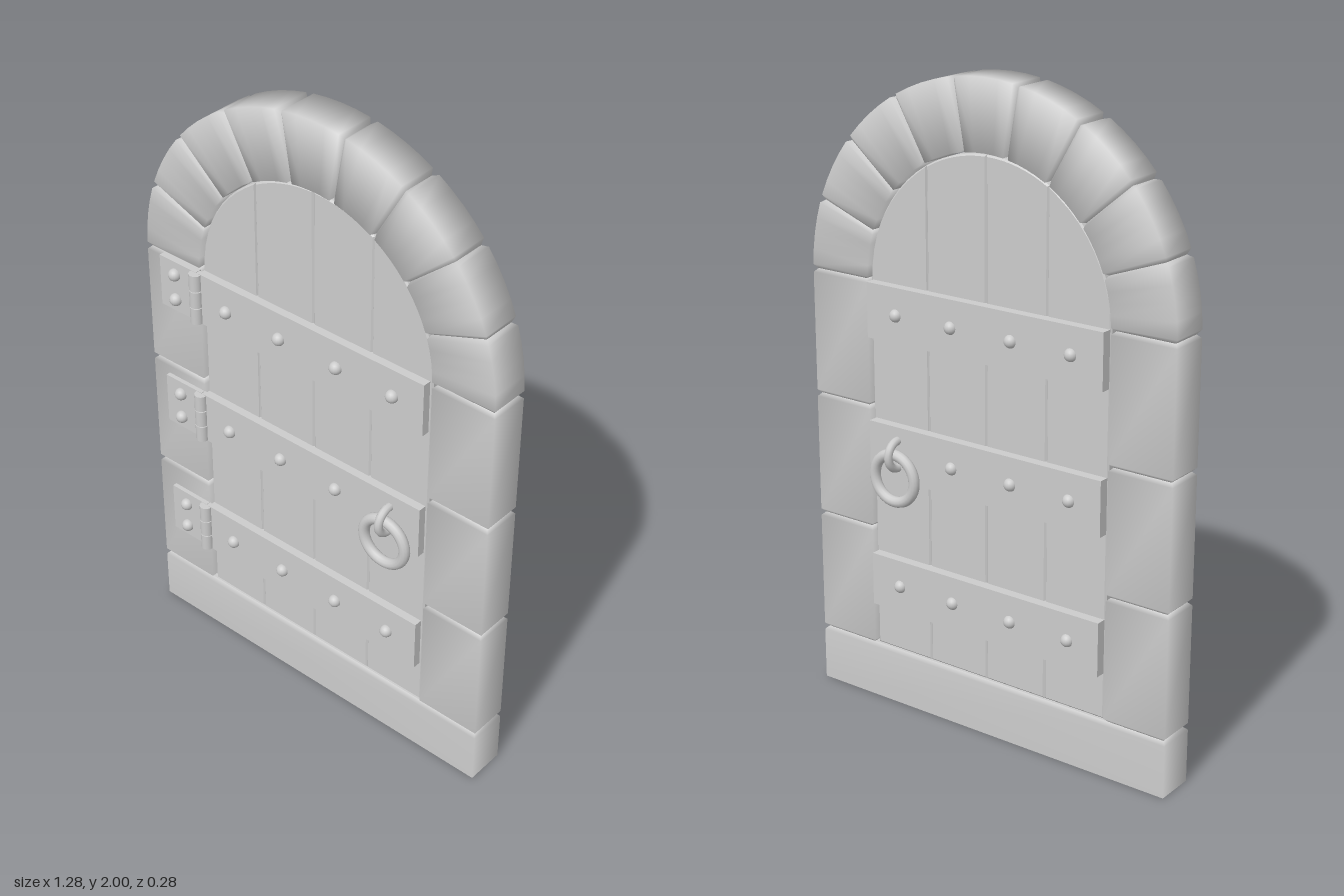
import * as THREE from 'three';

const INNER = 0.43, OUTER = 0.64, SPRING = 1.36, SILL = 0.178, DEPTH = 0.063;
const DOOR_R = 0.424, DOOR_Z = 0.052;
const CHAMFER = 0.011;
const material = new THREE.MeshStandardMaterial({ color: 0xcccccc, roughness: 0.8 });

function add(parent, name, geometry, x = 0, y = 0, z = 0) {
  const mesh = new THREE.Mesh(geometry, material);
  mesh.name = name;
  mesh.position.set(x, y, z);
  parent.add(mesh);
  return mesh;
}

// Softly shaded stone block: rectangular sections joined in order.
// Each section is [inner point, outer point, half depth] with points as [x, y].
function stoneBlock(sections) {
  const position = [], index = [];
  const corners = ([a, b, d]) => [[...a, d], [...b, d], [...b, -d], [...a, -d]];
  sections.forEach((s) => corners(s).forEach((p) => position.push(...p)));
  for (let i = 0; i < sections.length - 1; i++) {
    for (let j = 0; j < 4; j++) {
      const a = i * 4 + j, b = i * 4 + (j + 1) % 4;
      index.push(a, b, b + 4, a, b + 4, a + 4);
    }
  }
  // End caps keep their own vertices so that their rims stay sharp
  const first = position.length / 3;
  corners(sections[0]).forEach((p) => position.push(...p));
  corners(sections[sections.length - 1]).forEach((p) => position.push(...p));
  index.push(first, first + 2, first + 1, first, first + 3, first + 2);
  index.push(first + 4, first + 5, first + 6, first + 4, first + 6, first + 7);
  const geometry = new THREE.BufferGeometry();
  geometry.setAttribute('position', new THREE.Float32BufferAttribute(position, 3));
  geometry.setIndex(index);
  geometry.computeVertexNormals();
  return geometry;
}

// Straight block between two heights, chamfered at the chosen ends
function uprightBlock(x0, x1, y0, y1, chamferBottom = true) {
  const section = (y, inset) => [[x1 - inset, y], [x0 + inset, y], DEPTH - inset];
  const sections = [section(y0 + CHAMFER, 0), section(y1 - CHAMFER, 0), section(y1, CHAMFER)];
  sections.unshift(section(y0, chamferBottom ? CHAMFER : 0));
  // x1 listed first would turn the block inside out, so swap
  return stoneBlock(sections.map(([a, b, d]) => [b, a, d]));
}

// Wedge of the arch between two angles
function archBlock(a0, a1) {
  const point = (r, a) => [Math.cos(a) * r, SPRING + Math.sin(a) * r];
  const section = (a, inset) => [point(INNER + inset, a), point(OUTER - inset, a), DEPTH - inset];
  const c = CHAMFER / 0.535, steps = 4;
  const sections = [section(a0, CHAMFER)];
  for (let i = 0; i <= steps; i++) sections.push(section(a0 + c + (a1 - a0 - 2 * c) * i / steps, 0));
  sections.push(section(a1, CHAMFER));
  return stoneBlock(sections);
}

function buildFrame() {
  const frame = new THREE.Group();
  frame.name = 'stoneFrame';
  add(frame, 'sill', uprightBlock(-OUTER, OUTER, 0, SILL, false));
  const height = (SPRING - SILL) / 3;
  for (let i = 0; i < 3; i++) {
    const y = SILL + i * height;
    add(frame, 'leftPillarBlock', uprightBlock(INNER, OUTER, y, y + height));
    add(frame, 'rightPillarBlock', uprightBlock(-OUTER, -INNER, y, y + height));
  }
  const step = Math.PI / 9;
  for (let i = 0; i < 9; i++) add(frame, 'archBlock', archBlock(i * step, (i + 1) * step));
  return frame;
}

// Four planks cut to the round top, with chamfered grooves between them
function buildPlanks() {
  const planks = new THREE.Group();
  planks.name = 'planks';
  const width = DOOR_R / 2, bevel = 0.005;
  for (let i = 0; i < 4; i++) {
    const x0 = -DOOR_R + i * width, shape = new THREE.Shape();
    shape.moveTo(x0, SILL + 0.003);
    shape.lineTo(x0 + width, SILL + 0.003);
    const a0 = Math.acos(Math.min(1, (x0 + width) / DOOR_R));
    const a1 = Math.acos(Math.max(-1, x0 / DOOR_R));
    for (let k = 0; k <= 10; k++) {
      const a = a0 + (a1 - a0) * k / 10;
      shape.lineTo(Math.cos(a) * DOOR_R, SPRING + Math.sin(a) * DOOR_R);
    }
    const geometry = new THREE.ExtrudeGeometry(shape, {
      depth: 2 * (DOOR_Z - bevel), bevelEnabled: true, bevelSegments: 1,
      bevelSize: bevel, bevelThickness: bevel, bevelOffset: -bevel,
    });
    add(planks, 'plank', geometry, 0, 0, -DOOR_Z + bevel);
  }
  return planks;
}

function box(parent, name, x0, x1, y0, y1, z0, z1) {
  return add(parent, name, new THREE.BoxGeometry(x1 - x0, y1 - y0, z1 - z0),
    (x0 + x1) / 2, (y0 + y1) / 2, (z0 + z1) / 2);
}

const rivetGeometry = new THREE.SphereGeometry(0.02, 16, 12);

// Iron strap with its rivets; side is +1 for the front and -1 for the back
function buildStrap(y, side, hasRing) {
  const strap = new THREE.Group();
  strap.name = side > 0 ? 'frontStrap' : 'backStrap';
  const top = side > 0 ? 0.078 : 0.083, z = [side * 0.045, side * top].sort((a, b) => a - b);
  box(strap, 'strapBand', -0.42, 0.415, y - 0.085, y + 0.085, z[0], z[1]);
  for (const x of [-0.312, -0.107, 0.106, 0.308]) {
    if (!(hasRing && x > 0.3)) add(strap, 'rivet', rivetGeometry, x, y, side * 0.08);
  }
  if (side > 0) {
    // Hinge: leaf on the stone and a three-part knuckle
    box(strap, 'hingeLeaf', -0.577, -0.43, y - 0.085, y + 0.085, 0.055, 0.077);
    for (const dy of [-0.043, 0.043]) add(strap, 'hingeRivet', rivetGeometry, -0.515, y + dy, 0.08);
    const part = 0.17 / 3;
    for (const i of [-1, 0, 1]) {
      add(strap, 'hingeKnuckle', new THREE.CylinderGeometry(0.02, 0.02, part - 0.003, 16), -0.43, y + i * part, 0.08);
    }
  }
  return strap;
}

// Hanging pull ring and the loop that holds it
function buildRing(side) {
  const handle = new THREE.Group();
  handle.name = side > 0 ? 'frontHandle' : 'backHandle';
  add(handle, 'pullRing', new THREE.TorusGeometry(0.075, 0.017, 12, 36), 0.308, 0.773, side * 0.1);
  const loop = add(handle, 'ringLoop', new THREE.TorusGeometry(0.043, 0.013, 10, 28), 0.308, 0.845, side * 0.084);
  loop.rotation.y = Math.PI / 2;
  return handle;
}

export function createModel() {
  const model = new THREE.Group();
  model.name = 'archedDoor';
  model.add(buildFrame());
  const door = new THREE.Group();
  door.name = 'door';
  door.add(buildPlanks());
  for (const side of [1, -1]) {
    for (const y of [0.412, 0.845, 1.275]) door.add(buildStrap(y, side, y === 0.845));
    door.add(buildRing(side));
  }
  model.add(door);
  return model;
}
